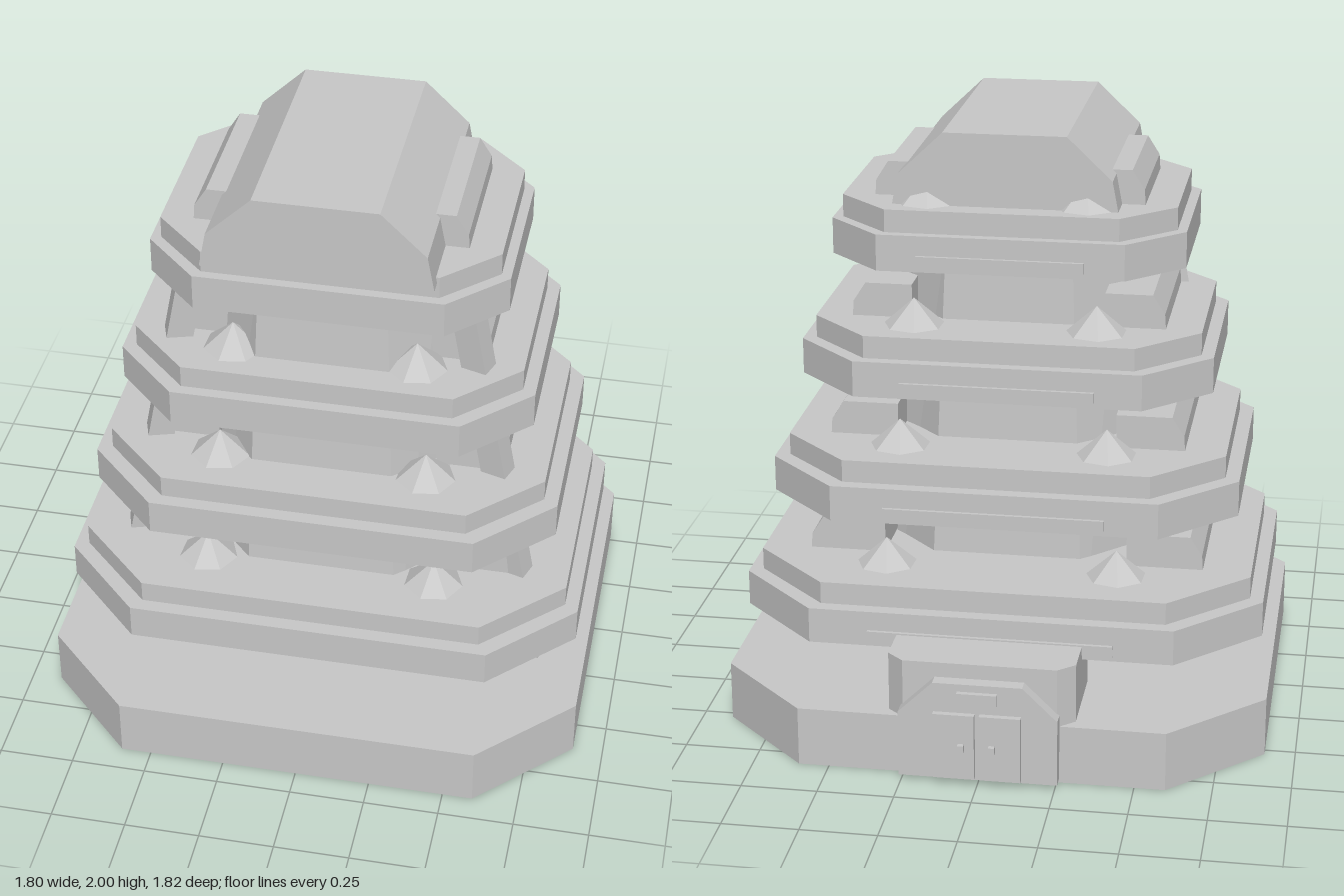
import * as THREE from 'three';

const stone = new THREE.MeshStandardMaterial({ color: 0xc8c8c8, side: THREE.DoubleSide });
stone.name = 'stone grey';
const CZ = 0.044; // depth centre of the base and tiers

function add(parent, name, geometry) {
  const mesh = new THREE.Mesh(geometry, stone);
  mesh.name = name;
  parent.add(mesh);
  return mesh;
}

// Flat-faced solid between two convex outlines [x, z], counter-clockwise from above
function loft(bottom, top, y0, y1, openBelow = false) {
  const a = bottom.map(([x, z]) => [x, y0, z]);
  const b = top.map(([x, z]) => [x, y1, z]);
  const pos = [];
  const tri = (...p) => p.forEach((v) => pos.push(...v));
  const n = a.length;
  for (let i = 0; i < n; i++) {
    const j = (i + 1) % n;
    tri(a[i], a[j], b[j]);
    tri(a[i], b[j], b[i]);
    if (i > 0 && i < n - 1) {
      tri(b[0], b[i], b[j]);
      if (!openBelow) tri(a[0], a[j], a[i]);
    }
  }
  const g = new THREE.BufferGeometry();
  g.setAttribute('position', new THREE.Float32BufferAttribute(pos, 3));
  g.computeVertexNormals();
  return g;
}

// Octagon with half sizes hx, hz and flat half lengths fx, fz
const octagon = (hx, hz, fx, fz, cz = CZ) => [
  [hx, fz], [hx, -fz], [fx, -hz], [-fx, -hz],
  [-hx, -fz], [-hx, fz], [-fx, hz], [fx, hz],
].map(([x, z]) => [x, z + cz]);

function slab(hx, hz, y0, y1) {
  const o = octagon(hx, hz, hx * 0.69, hz * 0.6);
  return loft(o, o, y0, y1);
}

// Front-view outline pushed from z0 to z1
function profile(points, z0, z1) {
  const shape = new THREE.Shape(points.map(([x, y]) => new THREE.Vector2(x, y)));
  return new THREE.ExtrudeGeometry(shape, { depth: z1 - z0, bevelEnabled: false }).translate(0, 0, z0);
}

function box(x0, x1, y0, y1, z0, z1) {
  return new THREE.BoxGeometry(x1 - x0, y1 - y0, z1 - z0)
    .translate((x0 + x1) / 2, (y0 + y1) / 2, (z0 + z1) / 2);
}

export function createModel() {
  const tower = new THREE.Group();
  tower.name = 'tieredTower';

  // Hollow base, open below, and tapered core set forward of the base centre
  const baseOutline = octagon(0.9, 0.868, 0.6, 0.572);
  add(tower, 'base', loft(baseOutline, baseOutline, 0, 0.2, true));
  add(tower, 'core', loft(
    octagon(0.425, 0.388, 0.262, 0.217, 0.102),
    octagon(0.347, 0.312, 0.208, 0.188, 0.102), 0.19, 1.62));

  // Tiers: [bottom y, lower half sizes, upper half sizes, stud x, stud z offset]
  const tiers = [
    [0.35, 0.87, 0.677, 0.825, 0.63, 0.385, 0.432],
    [0.755, 0.777, 0.603, 0.73, 0.558, 0.343, 0.384],
    [1.16, 0.68, 0.525, 0.638, 0.487, 0.3, 0.336],
    [1.565, 0.58, 0.449, 0.548, 0.417, 0.26, 0.293],
  ];
  tiers.forEach(([y, hx, hz, ux, uz, cx, cz], i) => {
    const tier = new THREE.Group();
    tier.name = `tier${i + 1}`;
    tower.add(tier);
    const top = y + 0.195;
    add(tier, 'lowerSlab', slab(hx, hz, y, y + 0.12));
    add(tier, 'upperSlab', slab(ux, uz, y + 0.12, top));
    const back = CZ - hz;
    add(tier, 'backRail', box(-hx * 0.465, hx * 0.465, y + 0.02, y + 0.055, back - 0.012, back + 0.01));

    // Bevelled blocks on both sides
    const ox = hx * 0.765, ix = hx * 0.47, half = 0.237 + (3 - i) * 0.035;
    for (const s of [-1, 1]) {
      add(tier, 'sideBlock', profile([
        [s * ix, top - 0.02], [s * ox, top - 0.02], [s * (ox - 0.005), top + 0.05],
        [s * (ox - 0.045), top + 0.113], [s * ix, top + 0.113],
      ], CZ - half, CZ + half));

      // Pointed seven-sided studs near the corners
      for (const t of [-1, 1]) {
        const cone = new THREE.ConeGeometry(0.1, 0.09, 7).toNonIndexed();
        cone.rotateY(Math.PI + 0.17);
        cone.computeVertexNormals();
        add(tier, 'stud', cone).position.set(s * cx, top + 0.045, CZ + t * cz);
      }
    }
  });

  // Leaning square struts, turned slightly outward
  const strutSection = [[0.742, 0.41], [0.765, 0.342], [0.682, 0.316], [0.659, 0.384]];
  for (const s of [-1, 1]) {
    const outline = (dx, dz) => {
      const p = strutSection.map(([x, z]) => [s * (x + dx), z + dz]);
      return s > 0 ? p : p.reverse();
    };
    add(tower, 'strut', loft(outline(0.005, 0), outline(-0.267, -0.03), 0.175, 1.6));
  }

  // Roof housing
  add(tower, 'roof', profile([
    [-0.37, 1.74], [0.37, 1.74], [0.347, 1.86], [0.2, 2], [-0.2, 2], [-0.347, 1.86],
  ], -0.3, 0.51));

  // Rear entrance: porch with cut corners, arched frame and double door
  const entrance = new THREE.Group();
  entrance.name = 'entrance';
  tower.add(entrance);
  const porch = octagon(0.305, 0.196, 0.25, 0.147, -0.634);
  add(entrance, 'porch', loft(porch, porch, 0.18, 0.4));
  add(entrance, 'doorFrame', profile([
    [-0.258, 0.015], [0.258, 0.015], [0.258, 0.24], [0.145, 0.35], [-0.145, 0.35], [-0.258, 0.24],
  ], -0.875, -0.825));
  for (const s of [-1, 1]) {
    const [a, b] = s > 0 ? [0.008, 0.142] : [-0.142, -0.008];
    add(entrance, 'doorLeaf', box(a, b, 0.025, 0.25, -0.895, -0.87));
    add(entrance, 'doorHandle', box(s * 0.05 - 0.01, s * 0.05 + 0.01, 0.125, 0.15, -0.912, -0.89));
  }
  add(entrance, 'doorLamp', box(-0.065, 0.065, 0.285, 0.325, -0.892, -0.87));

  return tower;
}
